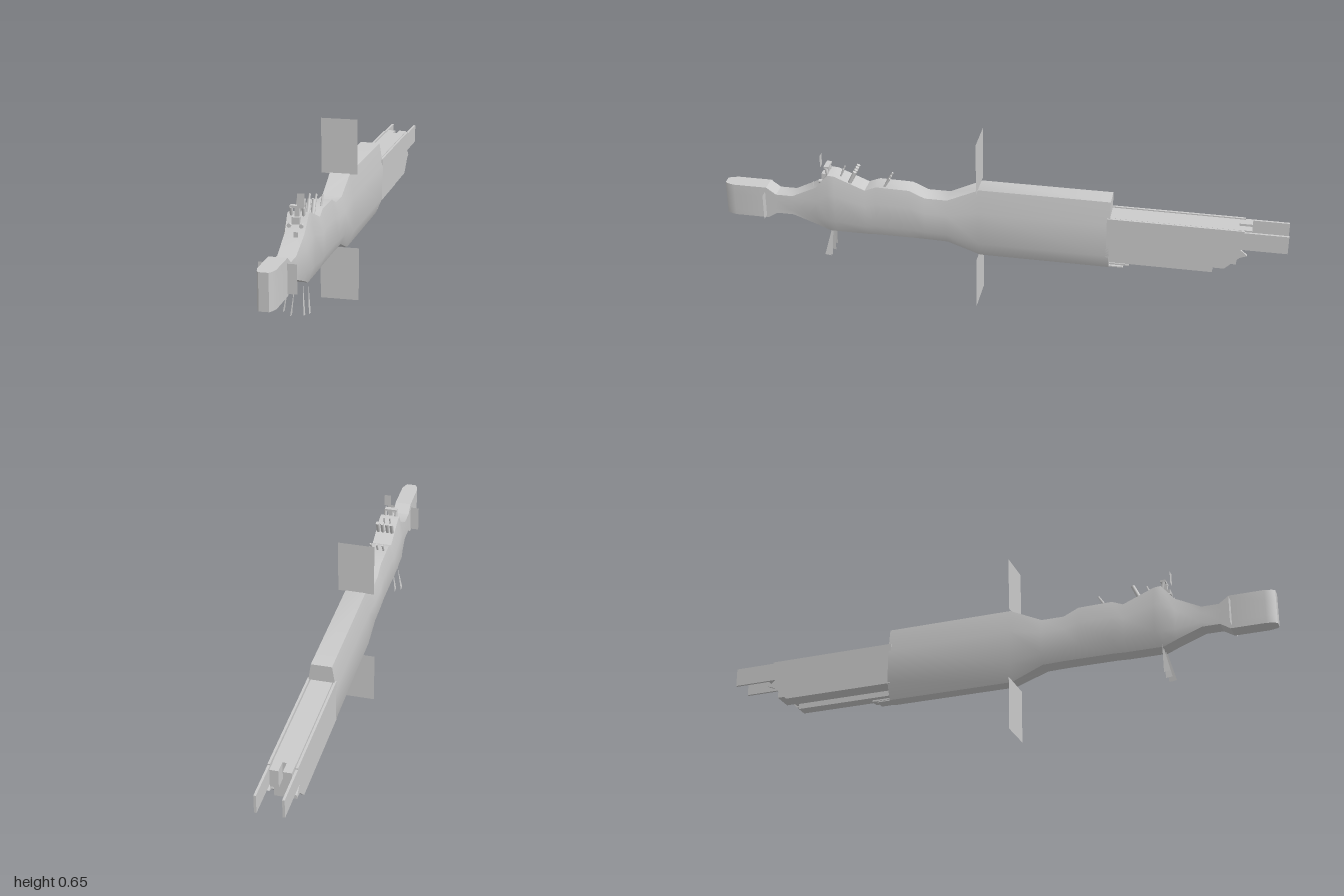
import * as THREE from 'three';
import { toCreasedNormals } from 'three/addons/utils/BufferGeometryUtils.js';

const material = new THREE.MeshStandardMaterial({ color: 0xcccccc, side: THREE.DoubleSide });

function add(parent, name, geometry, x = 0, y = 0, z = 0) {
  const mesh = new THREE.Mesh(geometry, material);
  mesh.name = name;
  mesh.position.set(x, y, z);
  parent.add(mesh);
  return mesh;
}

// Box given by its limits
function block(parent, name, x0, x1, y0, y1, z0, z1) {
  return add(parent, name, new THREE.BoxGeometry(x1 - x0, y1 - y0, z1 - z0),
    (x0 + x1) / 2, (y0 + y1) / 2, (z0 + z1) / 2);
}

// Flat panel facing the front
function panel(parent, name, x0, x1, y0, y1, z) {
  return add(parent, name, new THREE.PlaneGeometry(x1 - x0, y1 - y0), (x0 + x1) / 2, (y0 + y1) / 2, z);
}

// Side profile of [z, y] points, extruded across x
function sideProfile(points, x0, x1) {
  const shape = new THREE.Shape(points.map(([z, y]) => new THREE.Vector2(-z, y)));
  return new THREE.ExtrudeGeometry(shape, { depth: x1 - x0, bevelEnabled: false })
    .rotateY(Math.PI / 2).translate(x0, 0, 0);
}

// Tube between two points
function rod(parent, name, from, to, radius, sides = 8) {
  const a = new THREE.Vector3(...from), b = new THREE.Vector3(...to);
  const dir = b.clone().sub(a);
  const mesh = add(parent, name, new THREE.CylinderGeometry(radius, radius, dir.length(), sides));
  mesh.position.copy(a).add(b).multiplyScalar(0.5);
  mesh.quaternion.setFromUnitVectors(new THREE.Vector3(0, 1, 0), dir.normalize());
  return mesh;
}

// Eight-sided cross-sections: z, top y, bottom y, half-widths at top, middle, bottom
function hullGeometry() {
  const sections = [
    [1.0, 0.39, 0.268, 0.016, 0.016, 0.016],
    [0.99, 0.39, 0.268, 0.023, 0.023, 0.023],
    [0.965, 0.39, 0.268, 0.03, 0.03, 0.03],
    [0.845, 0.39, 0.268, 0.03, 0.03, 0.03],
    [0.81, 0.365, 0.29, 0.03, 0.03, 0.03],
    [0.75, 0.365, 0.29, 0.03, 0.031, 0.03],
    [0.66, 0.41, 0.257, 0.032, 0.041, 0.03],
    [0.615, 0.465, 0.238, 0.035, 0.048, 0.03],
    [0.59, 0.463, 0.238, 0.035, 0.048, 0.03],
    [0.48, 0.418, 0.238, 0.035, 0.047, 0.03],
    [0.44, 0.435, 0.24, 0.034, 0.047, 0.03],
    [0.32, 0.433, 0.24, 0.034, 0.046, 0.03],
    [0.265, 0.408, 0.24, 0.034, 0.046, 0.03],
    [0.185, 0.408, 0.238, 0.034, 0.046, 0.03],
    [0.07, 0.462, 0.193, 0.036, 0.049, 0.024],
    [-0.39, 0.462, 0.193, 0.036, 0.049, 0.024],
  ];
  const positions = [], index = [], n = 8;
  for (const [z, top, bottom, wt, wm, wb] of sections) {
    const upper = bottom + 0.68 * (top - bottom), lower = bottom + 0.22 * (top - bottom);
    const right = [[wb, bottom], [wm, lower], [wm, upper], [wt, top]];
    const left = right.map(([x, y]) => [-x, y]).reverse();
    for (const [x, y] of [...right, ...left]) positions.push(x, y, z);
  }
  for (let i = 0; i < sections.length - 1; i++) {
    for (let j = 0; j < n; j++) {
      const a = i * n + j, b = i * n + (j + 1) % n;
      index.push(a + n, b + n, b, a + n, b, a);
    }
  }
  const last = (sections.length - 1) * n;
  for (let j = 1; j < n - 1; j++) {
    index.push(0, j, j + 1, last, last + j + 1, last + j);
  }
  const geometry = new THREE.BufferGeometry();
  geometry.setAttribute('position', new THREE.Float32BufferAttribute(positions, 3));
  geometry.setIndex(index);
  return toCreasedNormals(geometry, 0.5);
}

export function createModel() {
  const model = new THREE.Group();
  model.name = 'spaceship';
  add(model, 'hull', hullGeometry());

  // Crossing panels
  panel(model, 'upperPanel', -0.066, 0.063, 0.458, 0.652, 0.075);
  panel(model, 'lowerPanel', -0.07, 0.068, 0.002, 0.193, 0.075);
  panel(model, 'neckPanel', -0.062, 0.061, 0.277, 0.373, 0.85);

  // Stern: side plates running aft, slotted deck core and underslung beam
  const stern = new THREE.Group();
  stern.name = 'stern';
  model.add(stern);
  const plate = [[-0.38, 0.402], [-0.85, 0.402], [-0.85, 0.397], [-1, 0.397], [-1, 0.33],
    [-0.84, 0.33], [-0.865, 0.307], [-0.84, 0.297], [-0.79, 0.248], [-0.38, 0.248]];
  add(stern, 'leftSidePlate', sideProfile(plate, 0.041, 0.049));
  add(stern, 'rightSidePlate', sideProfile(plate, -0.049, -0.041));
  block(stern, 'deckCore', -0.037, 0.037, 0.262, 0.4, -0.83, -0.38);
  for (const s of [-1, 1]) {
    const x = s * 0.0215;
    block(stern, 'deckProng', x - 0.0145, x + 0.0145, 0.335, 0.4, -0.875, -0.83);
  }
  block(stern, 'coreCeiling', -0.042, 0.042, 0.255, 0.265, -0.79, -0.38);
  block(stern, 'keelBeam', -0.022, 0.022, 0.212, 0.232, -0.75, -0.38);
  block(stern, 'keelFlap', -0.02, 0.02, 0.193, 0.197, -0.44, -0.38);
  block(stern, 'keelStep', -0.016, 0.016, 0.2, 0.206, -0.46, -0.38);

  // Ventral blades fanning out below the bow
  for (const [x0, x1, tip] of [[-0.033, -0.047, 0.137], [-0.012, -0.023, 0.125],
    [0.012, 0.021, 0.13], [0.03, 0.039, 0.137]]) {
    const blade = new THREE.BufferGeometry();
    blade.setAttribute('position', new THREE.Float32BufferAttribute(
      [x0, 0.245, 0.61, x1, tip, 0.615, x1, tip + 0.003, 0.638], 3));
    blade.computeVertexNormals();
    add(model, 'ventralBlade', blade);
  }

  // Dorsal tubes and spikes leaning aft
  const dorsal = new THREE.Group();
  dorsal.name = 'dorsalEquipment';
  model.add(dorsal);
  for (const x of [-0.026, -0.009, 0.009, 0.026]) {
    rod(dorsal, 'tube', [x, 0.43, 0.54], [x, 0.485, 0.515], 0.007, 10);
  }
  for (const x of [-0.022, 0, 0.022]) {
    rod(dorsal, 'spike', [x, 0.428, 0.415], [x, 0.468, 0.39], 0.004, 5);
  }
  for (const x of [-0.01, 0.012]) {
    rod(dorsal, 'antenna', [x, 0.445, 0.575], [x, 0.485, 0.56], 0.003, 5);
  }

  // Bridge mast with sensor plate, bar and round sensors
  const bridge = new THREE.Group();
  bridge.name = 'bridge';
  model.add(bridge);
  block(bridge, 'mast', -0.007, 0.007, 0.42, 0.488, 0.615, 0.63);
  block(bridge, 'crossBar', -0.025, 0.021, 0.485, 0.492, 0.612, 0.63);
  block(bridge, 'sensorBox', -0.014, 0.012, 0.435, 0.458, 0.625, 0.642);
  panel(bridge, 'sensorPlate', 0.003, 0.028, 0.492, 0.536, 0.64);
  panel(bridge, 'lowerSensorPlate', 0.001, 0.016, 0.4, 0.42, 0.675);
  for (const x of [-0.021, 0.019]) {
    rod(bridge, 'roundSensor', [x, 0.432, 0.63], [x, 0.432, 0.65], 0.007, 10);
    rod(bridge, 'bridgePost', [x, 0.455, 0.615], [x, 0.485, 0.622], 0.006, 8);
  }
  return model;
}
